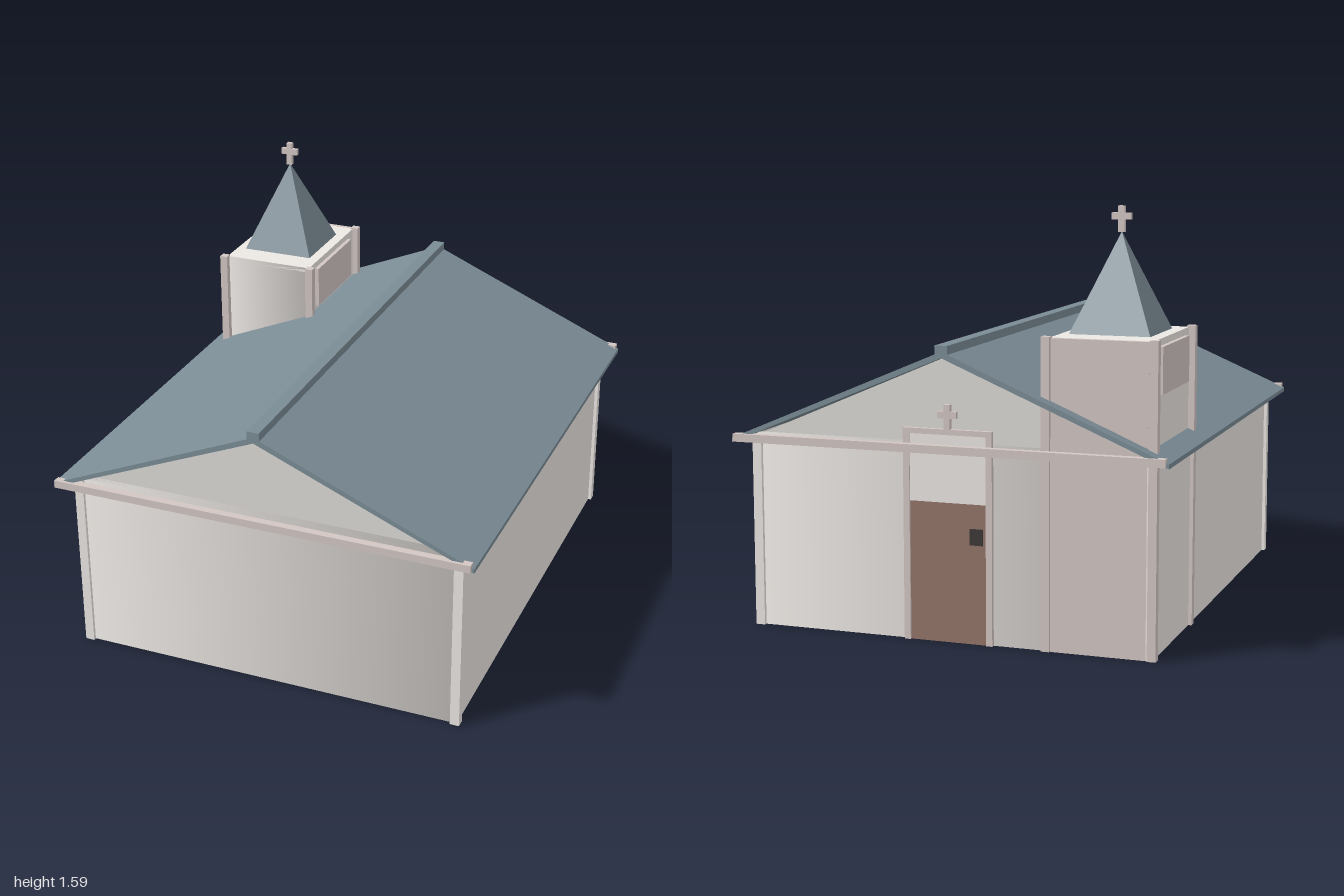
import * as THREE from 'three';

const mat = (color, extra = {}) => new THREE.MeshStandardMaterial({ color, ...extra });

export function createModel() {
  const model = new THREE.Group();
  model.name = 'chapel';
  const wallMat = mat(0xebe7e3, { side: THREE.DoubleSide });
  const gableMat = mat(0xdcdad6, { side: THREE.DoubleSide });
  const trimMat = mat(0xd3c6c3);
  const roofMat = mat(0x7b8c95, { side: THREE.DoubleSide });
  const doorMat = mat(0x94756a);
  const darkMat = mat(0x3c3836);

  const add = (name, geometry, material, parent = model) => {
    const mesh = new THREE.Mesh(geometry, material);
    mesh.name = name;
    parent.add(mesh);
    return mesh;
  };
  // Box given by its lower and upper limits on each axis
  const box = (name, x0, x1, y0, y1, z0, z1, material, parent) =>
    add(name, new THREE.BoxGeometry(x1 - x0, y1 - y0, z1 - z0), material, parent)
      .position.set((x0 + x1) / 2, (y0 + y1) / 2, (z0 + z1) / 2);
  // Open four-sided shell with softly shaded corners
  const shell = (hx, hz, h) => new THREE.CylinderGeometry(Math.SQRT2, Math.SQRT2, h, 4, 1, true)
    .rotateY(Math.PI / 4).scale(hx, 1, hz).translate(0, h / 2, 0);
  const polygon = (points) => new THREE.Shape(points.map(([x, y]) => new THREE.Vector2(x, y)));
  const cross = (name, x, y, z, parent) => {
    const g = new THREE.Group();
    g.name = name;
    box('crossUpright', -0.012, 0.012, 0, 0.095, -0.01, 0.01, trimMat, g);
    box('crossArm', -0.036, 0.036, 0.045, 0.07, -0.0095, 0.0095, trimMat, g);
    g.position.set(x, y, z);
    parent.add(g);
  };

  // Hall: open-bottomed walls, corner posts, gables and gable beams
  add('hallWalls', shell(0.77, 0.92, 0.74), wallMat);
  for (const sz of [-1, 1]) {
    for (const sx of [-1, 1]) {
      const x = sx * 0.765, z = sz * 0.915;
      box('cornerPost', x - 0.018, x + 0.018, 0, 0.73, z - 0.018, z + 0.018, wallMat);
    }
    add('gable', new THREE.ShapeGeometry(polygon([[-0.77, 0.725], [0.77, 0.725], [0, 1.055]])), gableMat)
      .position.z = sz * 0.92;
    box('gableBeam', -0.83, 0.83, 0.71, 0.74, sz * 0.985 - 0.015, sz * 0.985 + 0.015, trimMat);
  }

  // Roof: chevron slab, ridge cap and eave strips
  const roofShape = polygon([[-0.84, 0.705], [-0.84, 0.722], [0, 1.078], [0.84, 0.722], [0.84, 0.705], [0, 1.055]]);
  add('roof', new THREE.ExtrudeGeometry(roofShape, { depth: 1.976, bevelEnabled: false }).translate(0, 0, -0.988), roofMat);
  box('ridgeCap', -0.024, 0.024, 1.06, 1.1, -0.99, 0.99, roofMat);

  // Bell tower at the back corner
  const tower = new THREE.Group();
  tower.name = 'tower';
  tower.position.set(-0.57, 0, -0.66);
  model.add(tower);
  add('towerWalls', shell(0.19, 0.25, 1.135), wallMat, tower);
  box('towerTop', -0.19, 0.19, 1.115, 1.135, -0.25, 0.25, wallMat, tower);
  box('towerBackPanel', -0.18, 0.18, 0, 1.135, -0.268, -0.245, trimMat, tower);
  for (const sx of [-1, 1]) {
    for (const sz of [-1, 1]) {
      const x = sx * 0.198, z = sz * 0.259;
      box('towerPost', x - 0.016, x + 0.016, 0, 1.14, z - 0.016, z + 0.016, trimMat, tower);
    }
    box('towerSidePanel', sx * 0.195 - 0.012, sx * 0.195 + 0.012, 0.94, 1.11, -0.185, 0.185, trimMat, tower);
  }
  const spire = new THREE.ConeGeometry(0.15 * Math.SQRT2, 0.36, 4).rotateY(Math.PI / 4).toNonIndexed();
  spire.computeVertexNormals();
  add('spire', spire, mat(0x7b8c95, { flatShading: true }), tower).position.y = 1.318;
  cross('spireCross', 0, 1.495, 0, tower);

  // Back entrance: door, jambs, panel above and small cross
  box('door', -0.15, 0.15, 0, 0.52, -0.928, -0.91, doorMat);
  box('doorWindow', -0.135, -0.085, 0.37, 0.43, -0.934, -0.92, darkMat);
  box('doorPanel', -0.15, 0.15, 0.52, 0.77, -0.93, -0.91, wallMat);
  for (const sx of [-1, 1])
    box('doorJamb', sx * 0.16 - 0.012, sx * 0.16 + 0.012, 0, 0.78, -0.936, -0.91, trimMat);
  box('doorCornice', -0.172, 0.172, 0.77, 0.79, -0.938, -0.91, trimMat);
  cross('doorCross', 0, 0.785, -0.928, model);

  return model;
}
